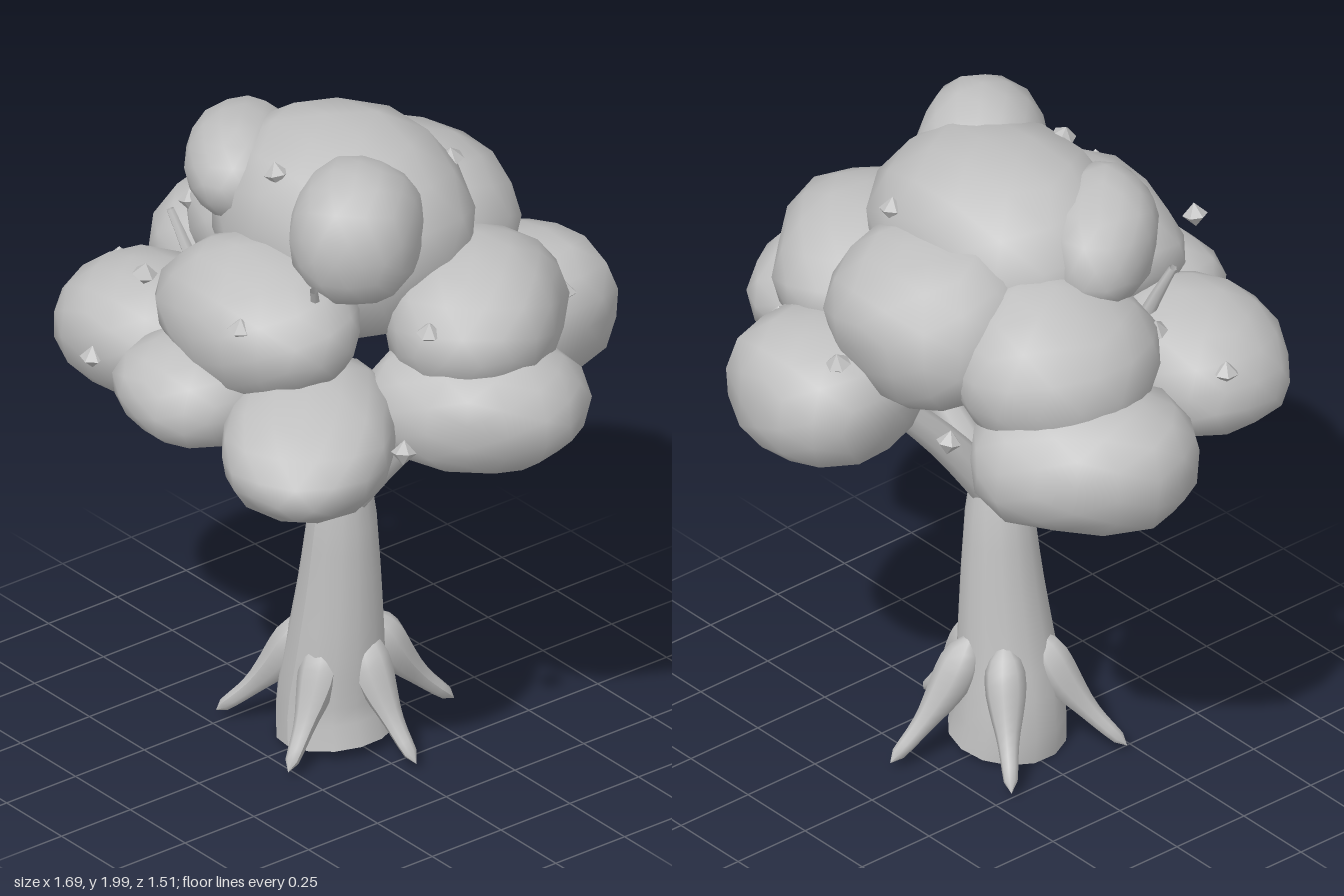
import * as THREE from 'three';
import { mergeVertices } from 'three/addons/utils/BufferGeometryUtils.js';

const grey = new THREE.MeshStandardMaterial({ color: 0xc0c0c0, side: THREE.DoubleSide });
grey.name = 'clayGrey';

// Tapered tube: radii are spread evenly along the path
function limb(name, points, radii, segments = 10, sides = 10) {
  const curve = new THREE.CatmullRomCurve3(points.map((p) => new THREE.Vector3(...p)));
  const geo = new THREE.TubeGeometry(curve, segments, 1, sides);
  const pos = geo.attributes.position;
  const v = new THREE.Vector3();
  for (let i = 0; i < pos.count; i++) {
    const t = Math.floor(i / (sides + 1)) / segments;
    const k = t * (radii.length - 1);
    const a = Math.min(Math.floor(k), radii.length - 2);
    const r = THREE.MathUtils.lerp(radii[a], radii[a + 1], k - a);
    const c = curve.getPointAt(t);
    v.fromBufferAttribute(pos, i).sub(c).multiplyScalar(r).add(c);
    pos.setXYZ(i, v.x, v.y, v.z);
  }
  geo.computeVertexNormals();
  const mesh = new THREE.Mesh(geo, grey);
  mesh.name = name;
  return mesh;
}

// Lumpy leaf clump with smooth normals; a higher power p makes it boxier
function clump(name, center, radii, rotation, p, seed) {
  let geo = new THREE.IcosahedronGeometry(1, 2);
  geo.deleteAttribute('normal');
  geo.deleteAttribute('uv');
  geo = mergeVertices(geo, 1e-4);
  const pos = geo.attributes.position;
  const v = new THREE.Vector3();
  for (let i = 0; i < pos.count; i++) {
    v.fromBufferAttribute(pos, i);
    const box = (Math.abs(v.x) ** p + Math.abs(v.y) ** p + Math.abs(v.z) ** p) ** (-1 / p);
    const lump = 1 + 0.03 * Math.sin(v.x * 5.1 + seed * 1.7) * Math.cos(v.z * 4.4 + seed * 2.3)
      + 0.02 * Math.sin(v.y * 5 + v.x * 3.5 + seed * 4.1);
    v.multiplyScalar(box * lump);
    pos.setXYZ(i, v.x * radii[0], v.y * radii[1], v.z * radii[2]);
  }
  geo.computeVertexNormals();
  const mesh = new THREE.Mesh(geo, grey);
  mesh.name = name;
  mesh.position.set(...center);
  mesh.rotation.set(...rotation);
  return mesh;
}

export function createModel() {
  const tree = new THREE.Group();
  tree.name = 'tree';

  // Leaning open-ended trunk with a slanted foot
  tree.add(limb('trunk',
    [[0.012, 0.03, 0.015], [0, 0.13, 0.017], [0.02, 0.3, 0.02], [0.04, 0.52, 0.02], [0.06, 0.78, 0.025], [0.085, 0.98, 0.03]],
    [0.172, 0.148, 0.123, 0.1, 0.056], 12, 14));

  // Roots splaying from the foot, with rounded tips
  const rootTips = [[0.33, -0.03], [0.14, 0.29], [-0.28, 0.22], [-0.26, -0.2], [0.09, -0.36]];
  const roots = new THREE.Group();
  roots.name = 'roots';
  for (const [x, z] of rootTips) {
    const at = (f, y) => [0.02 + (x - 0.02) * f, y, z * f];
    roots.add(limb('root', [at(0.28, 0.37), at(0.46, 0.24), at(0.7, 0.13), at(0.99, 0.03)],
      [0.02, 0.046, 0.058, 0.06, 0.058, 0.052, 0.045, 0.037, 0.031, 0.027, 0.024, 0.02, 0], 12, 8));
  }
  tree.add(roots);

  // Main branches fanning into the canopy
  const branchEnds = [
    [0.46, 1.24, -0.06], [0.18, 1.32, 0.25], [-0.18, 1.28, 0.22], [-0.42, 1.24, -0.1], [0.14, 1.26, -0.36],
  ];
  const branches = new THREE.Group();
  branches.name = 'branches';
  for (const [x, y, z] of branchEnds) {
    branches.add(limb('branch',
      [[0.065, 0.79, 0.025], [0.065 + (x - 0.065) * 0.42, 0.79 + (y - 0.79) * 0.47, 0.025 + (z - 0.025) * 0.42], [x, y, z]],
      [0.06, 0.056, 0.05, 0.044, 0.038], 8, 8));
  }
  tree.add(branches);

  // Twigs poking out of the leaves
  tree.add(limb('twig', [[-0.27, 1.42, 0.27], [-0.32, 1.54, 0.29], [-0.37, 1.65, 0.31]], [0.025, 0.012], 4, 6));
  tree.add(limb('twig', [[0.25, 1.48, 0.27], [0.31, 1.6, 0.32], [0.36, 1.72, 0.37]], [0.025, 0.012], 4, 6));

  // Leaf clumps: name, centre, radii, rotation, power
  const q = Math.PI / 4;
  const clumps = [
    ['crownClump', [0.03, 1.69, 0], [0.4, 0.3, 0.33], [0, 0, 0], 2.4],
    ['topRightClump', [0.27, 1.8, 0.14], [0.23, 0.2, 0.19], [0, -q, 0], 2.3],
    ['topLeftClump', [-0.27, 1.79, 0.13], [0.25, 0.16, 0.16], [0, -q, 0.15], 2.2],
    ['frontMiddleClump', [0.1, 1.53, 0.36], [0.34, 0.2, 0.25], [0.15, 0, 0], 2.2],
    ['frontLowClump', [0.02, 1.32, 0.53], [0.23, 0.15, 0.22], [0, 0, 0], 2.3],
    ['frontLeftClump', [-0.35, 1.32, 0.4], [0.3, 0.19, 0.25], [0, 0, 0.12], 2.2],
    ['frontRightClump', [0.4, 1.28, 0.42], [0.34, 0.16, 0.25], [0, -q, -0.15], 2.2],
    ['sideLeftLowClump', [-0.54, 1.3, -0.17], [0.33, 0.21, 0.25], [0, q, 0], 2.3],
    ['sideRightLowClump', [0.55, 1.3, -0.07], [0.32, 0.19, 0.24], [0, q, 0], 2.3],
    ['sideRightUpperClump', [0.42, 1.5, -0.17], [0.34, 0.21, 0.26], [0, -q, 0], 2.2],
    ['sideLeftUpperClump', [-0.36, 1.52, -0.13], [0.3, 0.24, 0.31], [0, 0, 0.3], 2.1],
    ['backUpperClump', [-0.03, 1.59, -0.3], [0.31, 0.23, 0.27], [-0.25, 0, 0], 2.6],
    ['backLowClump', [0.2, 1.32, -0.5], [0.26, 0.2, 0.26], [0, 0, 0], 2.8],
  ];
  const foliage = new THREE.Group();
  foliage.name = 'foliage';
  clumps.forEach((c, i) => foliage.add(clump(...c, i + 1)));
  tree.add(foliage);

  // Small faceted fruits
  const fruitSpots = [
    [0.04, 1.92, 0.25], [-0.16, 1.62, 0.57], [0.25, 1.61, 0.55], [-0.49, 1.57, 0.14],
    [0.56, 1.58, 0.11], [-0.31, 1.31, 0.64], [0.67, 1.3, 0.29], [0.16, 1.84, -0.29],
    [0.41, 1.44, -0.5], [0.03, 1.51, -0.6], [-0.36, 1.4, -0.52], [-0.59, 1.4, 0.32],
  ];
  const fruits = new THREE.Group();
  fruits.name = 'fruits';
  const fruitGeo = new THREE.SphereGeometry(0.037, 6, 2).toNonIndexed();
  fruitGeo.computeVertexNormals();
  fruitSpots.forEach((p, i) => {
    const fruit = new THREE.Mesh(fruitGeo, grey);
    fruit.name = 'fruit';
    fruit.position.set(...p);
    fruit.rotation.set(0.3 * Math.sin(i * 2), i, 0.3 * Math.cos(i * 3));
    fruits.add(fruit);
  });
  tree.add(fruits);

  return tree;
}
